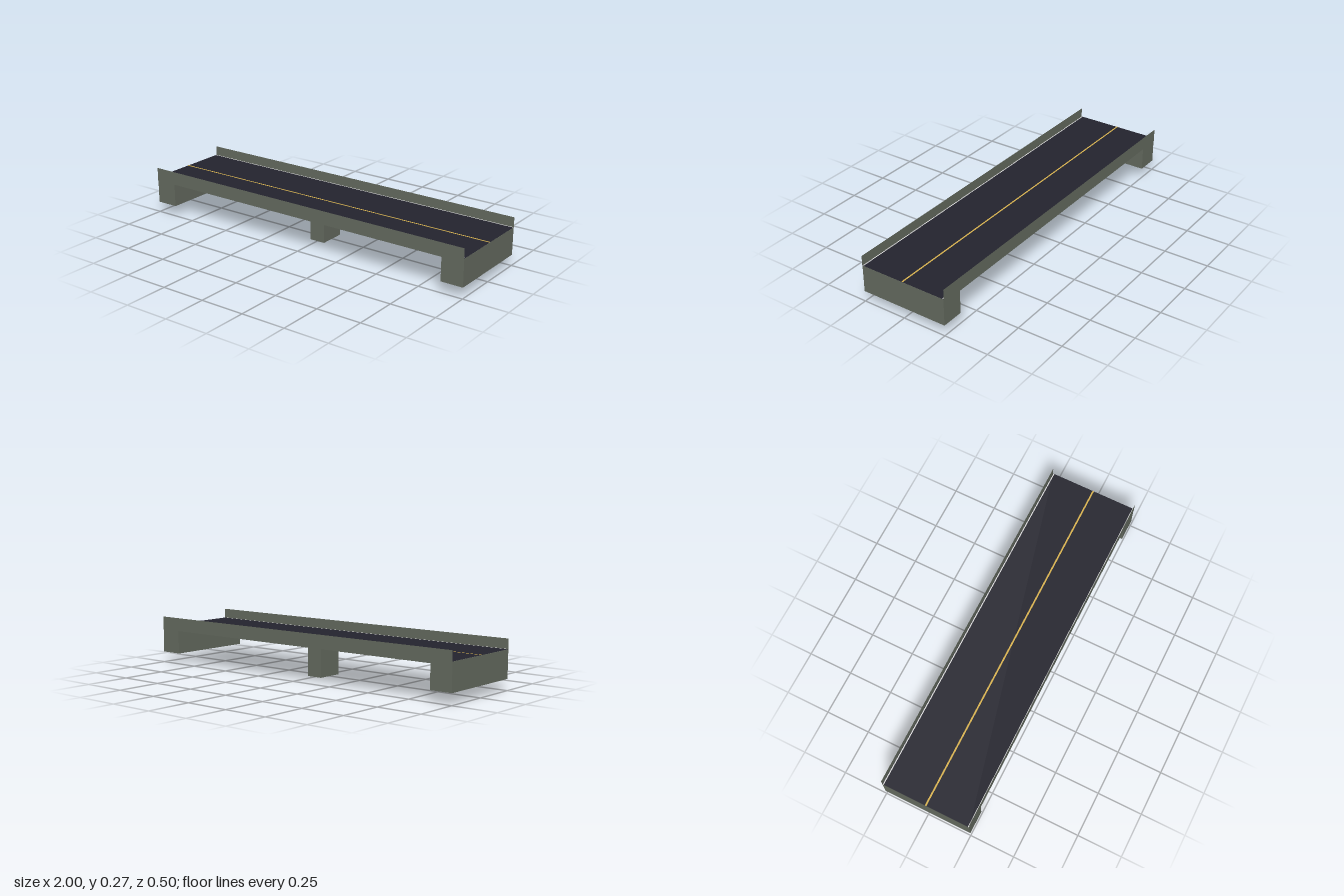
import * as THREE from 'three';

const material = (name, color, side = THREE.FrontSide) => {
  const m = new THREE.MeshStandardMaterial({ color, side });
  m.name = name;
  return m;
};

export function createModel() {
  const group = new THREE.Group();
  group.name = 'roadBridge';
  const concrete = material('concrete', 0x62685d, THREE.DoubleSide);
  const asphalt = material('asphalt', 0x23232d);
  const white = material('whitePaint', 0xd8d8d8);
  const yellow = material('yellowPaint', 0xd6b04c);

  // Box given by its minimum and maximum corners
  const box = (name, mat, [x0, y0, z0], [x1, y1, z1]) => {
    const mesh = new THREE.Mesh(new THREE.BoxGeometry(x1 - x0, y1 - y0, z1 - z0), mat);
    mesh.position.set((x0 + x1) / 2, (y0 + y1) / 2, (z0 + z1) / 2);
    mesh.name = name;
    group.add(mesh);
  };

  // Flat strip running the length of the bridge, facing up
  const strip = (name, mat, y, z, width) => {
    const mesh = new THREE.Mesh(new THREE.PlaneGeometry(2, width).rotateX(-Math.PI / 2), mat);
    mesh.position.set(0, y, z);
    mesh.name = name;
    group.add(mesh);
  };

  // Deck, road surface and centre line
  box('deck', concrete, [-1, 0.19, -0.25], [1, 0.21, 0.25]);
  strip('roadSurface', asphalt, 0.211, 0, 0.5);
  strip('centreLine', yellow, 0.2125, 0, 0.009);

  // Central pier
  box('pier', concrete, [-0.045, 0, -0.075], [0.045, 0.19, 0.075]);

  for (const s of [-1, 1]) {
    // Abutment at each end
    const inner = s * 0.875;
    box('abutment', concrete, [Math.min(inner, s), 0.06, -0.25], [Math.max(inner, s), 0.19, 0.25]);

    // Thin parapet and edge line on each side
    const parapet = new THREE.Mesh(new THREE.PlaneGeometry(2, 0.075), concrete);
    parapet.position.set(0, 0.2275, s * 0.2515);
    if (s < 0) parapet.rotation.y = Math.PI;
    parapet.name = 'parapet';
    group.add(parapet);
    strip('edgeLine', white, 0.2125, s * 0.245, 0.006);
  }

  return group;
}
